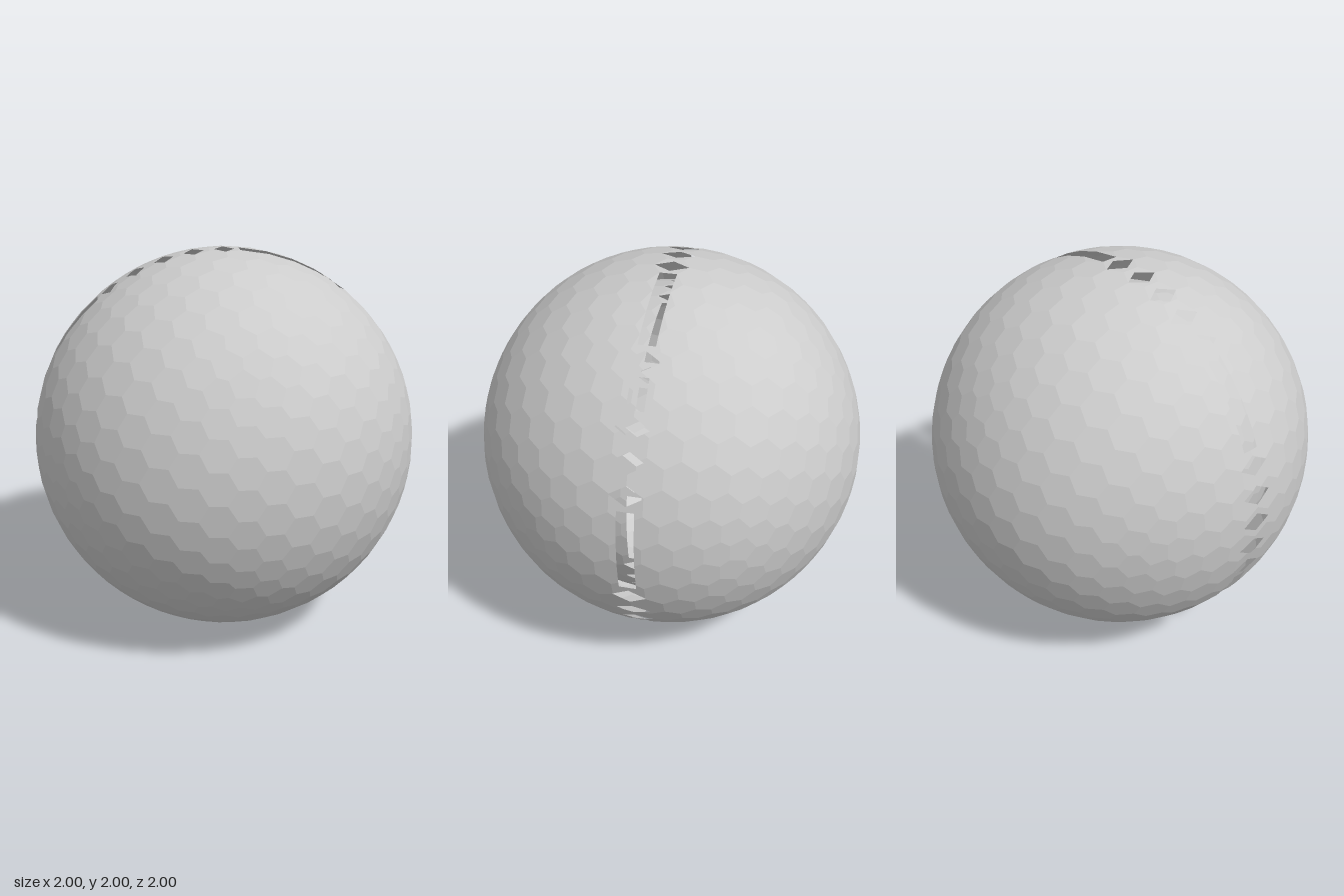
import * as THREE from 'three';

const V = (x, y, z) => new THREE.Vector3(x, y, z);
const DEG = Math.PI / 180;

// Planar hexagonal (and twelve pentagonal) faces of a geodesic ball
function ballFaces(detail) {
  const pos = new THREE.IcosahedronGeometry(1, detail).attributes.position;
  const cells = new Map();
  for (let i = 0; i < pos.count; i += 3) {
    const tri = [0, 1, 2].map(k => V().fromBufferAttribute(pos, i + k).normalize());
    const n = tri[1].clone().sub(tri[0]).cross(tri[2].clone().sub(tri[0])).normalize();
    const corner = n.divideScalar(n.dot(tri[0])); // meeting point of three tangent planes
    for (const v of tri) {
      const key = v.toArray().map(c => Math.round(c * 1000)).join();
      if (!cells.has(key)) cells.set(key, { v, corners: [] });
      cells.get(key).corners.push(corner);
    }
  }
  return [...cells.values()].map(({ v, corners }) => {
    const a = corners[0].clone().sub(v).normalize();
    const b = v.clone().cross(a);
    const angle = p => Math.atan2(p.dot(b), p.dot(a));
    return corners.sort((p, q) => angle(p) - angle(q));
  });
}

// Each hole is a list of planes; the hole is where n.p < c for all of them
function ringHoles() {
  const holes = [];
  const frame = deg => ({
    r: V(Math.cos(deg * DEG), Math.sin(deg * DEG), 0),
    t: V(-Math.sin(deg * DEG), Math.cos(deg * DEG), 0),
    z: V(0, 0, 1),
  });
  const outward = r => ({ n: r.clone().negate(), c: 0 });
  const bar = (mid, span) => {
    const { r, z } = frame(mid);
    holes.push([outward(r),
      { n: z, c: 0.043 }, { n: z.clone().negate(), c: 0.043 },
      { n: frame(mid + span / 2).t, c: 0 },
      { n: frame(mid - span / 2).t.negate(), c: 0 }]);
  };
  const diamond = mid => {
    const { r, t, z } = frame(mid);
    const planes = [outward(r)];
    for (const s of [-1, 1]) for (const u of [-1, 1]) {
      planes.push({ n: t.clone().multiplyScalar(s / 0.052).addScaledVector(z, u / 0.085), c: 1 });
    }
    holes.push(planes);
  };
  const round = mid => {
    const { r, t, z } = frame(mid);
    const planes = [outward(r)];
    for (let i = 0; i < 20; i++) {
      const a = i * 18 * DEG;
      planes.push({ n: t.clone().multiplyScalar(Math.cos(a)).addScaledVector(z, Math.sin(a)), c: 0.054 });
    }
    holes.push(planes);
  };
  // Long bars, short bars and dots on a 9 degree rhythm
  for (let m = 0; m < 360; m += 72) bar(m, 27);
  bar(45, 9);
  bar(-45, 9);
  for (const m of [18, 27, 36, 54]) { diamond(m); diamond(-m); }
  for (const start of [90, 162, 234]) {
    for (let i = 0; i < 5; i++) if (start + i * 9 !== 270) diamond(start + i * 9);
  }
  round(270);
  return holes;
}

// Split a convex polygon by a plane into [inside, outside]
function split(poly, { n, c }) {
  const inside = [], outside = [];
  poly.forEach((p, i) => {
    const q = poly[(i + 1) % poly.length];
    const dp = n.dot(p) - c, dq = n.dot(q) - c;
    (dp < 0 ? inside : outside).push(p);
    if ((dp < 0) !== (dq < 0)) {
      const m = p.clone().lerp(q, dp / (dp - dq));
      inside.push(m);
      outside.push(m);
    }
  });
  return [inside, outside];
}

// Remove a convex hole from a convex polygon, leaving convex pieces
function cut(poly, hole) {
  const kept = [];
  let rest = poly;
  for (const plane of hole) {
    const [inside, outside] = split(rest, plane);
    if (outside.length > 2) kept.push(outside);
    rest = inside;
    if (rest.length < 3) return [poly];
  }
  return kept;
}

function shellGeometry() {
  const holes = ringHoles();
  const points = [];
  for (const face of ballFaces(7)) {
    let pieces = [face];
    if (face.some(p => Math.abs(p.z) < 0.1)) {
      for (const hole of holes) pieces = pieces.flatMap(p => cut(p, hole));
    }
    for (const p of pieces) {
      for (let i = 1; i < p.length - 1; i++) points.push(p[0], p[i], p[i + 1]);
    }
  }
  const geo = new THREE.BufferGeometry().setFromPoints(points);
  geo.scale(0.998, 0.998, 0.998);
  geo.computeVertexNormals();
  return geo;
}

export function createModel() {
  const grey = new THREE.MeshStandardMaterial({ color: 0xcccccc, side: THREE.DoubleSide, flatShading: true });
  grey.name = 'light grey';
  const group = new THREE.Group();
  group.name = 'facetedBall';

  // Thin outer shell with a ring of cut-outs, and a matching shell inside it
  const geo = shellGeometry();
  const outer = new THREE.Mesh(geo, grey);
  outer.name = 'outerShell';
  const inner = new THREE.Mesh(geo, grey);
  inner.name = 'innerShell';
  inner.scale.setScalar(0.83);
  for (const shell of [outer, inner]) {
    shell.position.y = 1;
    group.add(shell);
  }
  return group;
}
